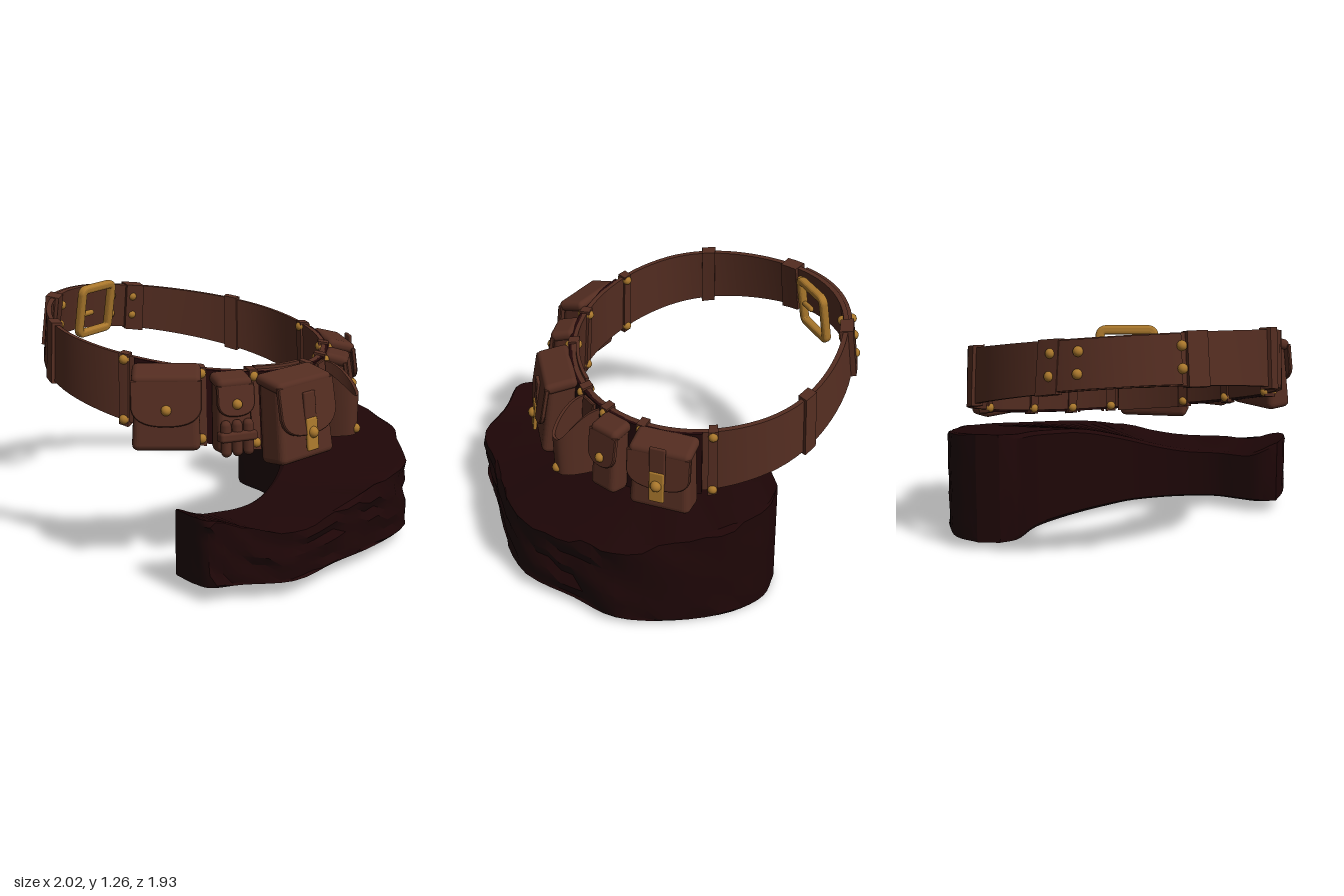
import * as THREE from 'three';
import { toCreasedNormals } from 'three/addons/utils/BufferGeometryUtils.js';
import { RoundedBoxGeometry } from 'three/addons/geometries/RoundedBoxGeometry.js';

const leather = new THREE.MeshStandardMaterial({ name: 'brown leather', color: 0x542d21 });
const darkLeather = new THREE.MeshStandardMaterial({ name: 'dark backing', color: 0x220809 });
const rockMat = new THREE.MeshStandardMaterial({ name: 'dark rock', color: 0x1e0607 });
const brass = new THREE.MeshStandardMaterial({ name: 'brass', color: 0xa9772c });

const V = (x, y, z) => new THREE.Vector3(x, y, z);
const rad = THREE.MathUtils.degToRad;
const hash = (i, j) => { const s = Math.sin(i * 12.99 + j * 78.23) * 43758.55; return (s - Math.floor(s)) * 2 - 1; };

function add(parent, name, geo, mat, x = 0, y = 0, z = 0) {
  const m = new THREE.Mesh(geo, mat);
  m.name = name;
  m.position.set(x, y, z);
  parent.add(m);
  return m;
}

// Skin a row of closed cross-sections and cap both ends
function loft(rings, crease = 0.6) {
  const n = rings[0].length, idx = [], last = (rings.length - 1) * n;
  for (let i = 0; i < rings.length - 1; i++) for (let j = 0; j < n; j++) {
    const a = i * n + j, b = i * n + (j + 1) % n;
    idx.push(a, b, b + n, a, b + n, a + n);
  }
  for (let j = 1; j < n - 1; j++) idx.push(0, j + 1, j, last, last + j, last + j + 1);
  const g = new THREE.BufferGeometry().setFromPoints(rings.flat());
  g.setIndex(idx);
  return toCreasedNormals(g, crease);
}

// Point on the tilted belt, flared at its sides and a little pointed at -x:
// t in degrees (0 = +x, 90 = +z), v = 0 top to 1 bottom
function beltPoint(t, off, v) {
  const c = Math.cos(rad(t)), s = Math.sin(rad(t));
  const squeeze = c < 0 ? 0.14 * c * c * s * s : 0;
  const r = off + (0.01 + 0.03 * c * c) * v - squeeze;
  const x = -0.21 + (0.73 + r) * c, z = 0.04 + (0.815 + r) * s;
  const h = 0.255 + 0.115 * THREE.MathUtils.clamp((x + 1) / 1.5, 0, 1);
  return V(x, 1.064 - 0.172 * x + 0.07 * z - v * h, z);
}

function band(parent, name, mat, t0, t1, in0, out0, v0 = 0, v1 = 1) {
  const n = Math.max(2, Math.ceil((t1 - t0) / 4)), rings = [];
  for (let i = 0; i <= n; i++) {
    const t = t0 + (t1 - t0) * i / n;
    rings.push([beltPoint(t, out0, v1), beltPoint(t, out0, v0), beltPoint(t, in0, v0), beltPoint(t, in0, v1)]);
  }
  return add(parent, name, loft(rings), mat);
}

// Group standing on the belt top edge: x along the belt, y up, z outward
function beltFrame(parent, name, t, off = 0) {
  const g = new THREE.Group();
  g.name = name;
  const p = beltPoint(t, off, 0);
  const up = p.clone().sub(beltPoint(t, off, 1)).normalize();
  const along = beltPoint(t - 1, off, 0).sub(beltPoint(t + 1, off, 0)).normalize();
  const out = along.cross(up).normalize();
  g.matrix.makeBasis(up.clone().cross(out), up, out).setPosition(p);
  g.matrix.decompose(g.position, g.quaternion, g.scale);
  parent.add(g);
  return g;
}

const rivetGeo = new THREE.SphereGeometry(0.026, 14, 10);
function beltRivet(parent, t, v, off = 0) {
  add(parent, 'rivet', rivetGeo, brass).position.copy(beltPoint(t, off, v));
}

// Flat tongue with a rounded lower edge, hanging down from y = 0
function tongueGeo(w, len, depth) {
  const s = new THREE.Shape();
  s.moveTo(-w / 2, 0);
  s.lineTo(-w / 2, -len * 0.6);
  s.bezierCurveTo(-w * 0.46, -len * 0.95, -w * 0.2, -len, 0, -len);
  s.bezierCurveTo(w * 0.2, -len, w * 0.46, -len * 0.95, w / 2, -len * 0.6);
  s.lineTo(w / 2, 0);
  return new THREE.ExtrudeGeometry(s, { depth, bevelEnabled: true, bevelSize: 0.005, bevelThickness: 0.005, bevelSegments: 1, curveSegments: 8 });
}

function pouch(parent, o) {
  const g = beltFrame(parent, o.name, o.t, 0.015);
  const { w, h, d, flap } = o;
  // Body, slimmer and sloping forward at the top
  const body = new RoundedBoxGeometry(w, h, d, 3, 0.035);
  const p = body.attributes.position;
  for (let i = 0; i < p.count; i++) {
    const up = p.getY(i) / h + 0.5, k = 1 - 0.1 * up;
    p.setX(i, p.getX(i) * k);
    p.setZ(i, (p.getZ(i) + d / 2) * k - d / 2);
    p.setY(i, p.getY(i) - 0.05 * up * (p.getZ(i) / d + 0.5));
  }
  body.computeVertexNormals();
  add(g, 'pouchBody', body, leather, 0, -h / 2, d / 2);
  add(g, 'lidTop', new RoundedBoxGeometry(w, 0.06, d + 0.015, 3, 0.028), leather, 0, -0.04, d / 2).rotation.x = 0.3;
  add(g, 'lidFlap', tongueGeo(w, flap - 0.06, 0.015), leather, 0, -0.06, d - 0.015).rotation.x = -0.08;
  const front = d + 0.015;
  if (o.clasp) {
    add(g, 'claspStrap', new RoundedBoxGeometry(0.085, 0.2, 0.02, 2, 0.008), leather, 0, o.clasp + 0.08, front);
    add(g, 'claspPlate', new RoundedBoxGeometry(0.08, 0.17, 0.02, 2, 0.008), brass, 0, o.clasp - 0.04, front + 0.007);
    add(g, 'claspStud', new THREE.SphereGeometry(0.03, 14, 10), brass, 0, o.clasp - 0.03, front + 0.015);
  } else add(g, 'lidStud', rivetGeo, brass, 0, o.stud, front);
  return g;
}

function makeRock() {
  // Matching inner and outer edge points along the arc (x, z)
  const inner = [[-0.325, -0.62], [-0.27, -0.53], [-0.02, -0.45], [0.13, -0.33], [0.28, -0.17], [0.36, -0.07], [0.44, 0.04], [0.5, 0.2], [0.53, 0.38], [0.52, 0.55], [0.46, 0.68], [0.41, 0.8], [0.43, 0.9]];
  const outer = [[-0.31, -0.75], [-0.2, -0.89], [0, -0.96], [0.32, -0.95], [0.61, -0.85], [0.78, -0.64], [0.97, -0.4], [1.012, -0.05], [0.985, 0.3], [0.97, 0.64], [0.79, 0.83], [0.69, 0.955], [0.57, 0.945]];
  const curve = a => new THREE.CatmullRomCurve3(a.map(q => V(q[0], 0, q[1])));
  const ci = curve(inner), co = curve(outer), rings = [], n = 48, ss = THREE.MathUtils.smoothstep;
  const top = (x, z) => THREE.MathUtils.lerp(0.56 - 0.14 * x, 0.34, ss(z, -0.3, 0.45)) + 0.08 * ss(z, 0.7, 0.94);
  const bottom = (x, z) => 0.05 * (z + 0.95) / 1.9 + 0.045 * Math.max(0, x);
  for (let i = 0; i <= n; i++) {
    const a = ci.getPoint(i / n), b = co.getPoint(i / n), ring = [];
    // s runs inner to outer, k runs bottom to top
    const put = (s, k, bump) => {
      const q = a.clone().lerp(b, s), lo = bottom(q.x, q.z), hi = top(q.x, q.z);
      q.y = lo + (hi - lo) * k + (k > 0.9 ? bump * 0.5 : 0);
      ring.push(q);
    };
    put(0.97, 0, 0);
    for (let j = 0; j < 7; j++) {
      const r = hash(Math.floor(i / 2), j), amt = 0.012 + 0.03 * (i / n);
      put(1 - amt * (1 + r), 0.04 + j * 0.155, r * 0.04);
    }
    put(0.93, 1, 0);
    put(0.04, 1, 0);
    put(0, 0.96, 0);
    put(0, 0.5, 0);
    put(0, 0.04, 0);
    put(0.03, 0, 0);
    rings.push(ring);
  }
  return loft(rings, 0.5);
}

// Open sheath: a leather strip bent forward in a U, its rim dipping at the front
function sheathGeo() {
  const rings = [];
  for (let i = 0; i <= 24; i++) {
    const c = Math.cos(Math.PI * i / 24), s = Math.sin(Math.PI * i / 24);
    const side = Math.sign(c) * Math.abs(c) ** 0.65, rim = -0.02 - 0.17 * s * s;
    const at = (r, y, k) => V((0.088 - r) * side * k, y, (0.21 - r) * s * k);
    rings.push([at(0, -0.4, 0.88), at(0, rim, 1), at(0.015, rim, 1), at(0.015, -0.4, 0.88)]);
  }
  return loft(rings);
}

export function createModel() {
  const model = new THREE.Group();
  model.name = 'utilityBelt';
  add(model, 'rockBase', makeRock(), rockMat);

  // Belt strap, overlapped end and dark backing behind the pouches
  const belt = new THREE.Group();
  belt.name = 'belt';
  model.add(belt);
  band(belt, 'strap', leather, -180, 180, -0.012, 0.014);
  band(belt, 'strapEnd', leather, 158, 204, 0.01, 0.033, 0.02, 0.98);
  band(belt, 'backing', darkLeather, -66, 66, 0.01, 0.028, 0, 1.03);
  band(belt, 'innerPanel', leather, -5, 20, -0.028, -0.01, -0.04, 1.06);

  // Plain keepers, then riveted keepers between the pouches
  for (const t of [-111, 111]) band(belt, 'keeper', leather, t - 3, t + 3, -0.03, 0.032, -0.04, 1.04);
  for (const t of [152, 203]) band(belt, 'endKeeper', leather, t - 4, t + 4, -0.03, 0.042, -0.02, 1.03);
  for (const t of [-70, -42, -24, -8, 22, 42, 70]) {
    band(belt, 'rivetedKeeper', leather, t - 1.8, t + 1.8, -0.026, 0.034, -0.03, 1.06);
    for (const v of [0.06, 0.97]) for (const off of [-0.018, 0.026]) beltRivet(belt, t, v, off);
  }
  for (const t of [158, 192, 202]) for (const v of [0.25, 0.68]) for (const off of [-0.018, 0.036]) beltRivet(belt, t, v, off);

  // Rounded buckle on the inner side
  const buckle = beltFrame(model, 'buckle', 176, -0.115);
  const rect = (s, w, r) => {
    s.moveTo(w, r - w);
    for (let k = 0; k < 4; k++) s.absarc([1, -1, -1, 1][k] * (w - r), [1, 1, -1, -1][k] * (w - r), r, k * Math.PI / 2, (k + 1) * Math.PI / 2);
    return s;
  };
  const frame = rect(new THREE.Shape(), 0.138, 0.035);
  frame.holes.push(rect(new THREE.Path(), 0.122, 0.02));
  add(buckle, 'buckleFrame', new THREE.ExtrudeGeometry(frame, { depth: 0.014, bevelEnabled: true, bevelSize: 0.014, bevelThickness: 0.016, bevelSegments: 3, curveSegments: 5 }), brass, 0, -0.1, -0.007);
  add(buckle, 'buckleProng', new THREE.CapsuleGeometry(0.016, 0.09, 4, 10), brass, 0.08, -0.115, 0).rotation.z = Math.PI / 2;

  // Pouches from front to back
  pouch(model, { name: 'frontPouch', t: 54.3, w: 0.34, h: 0.41, d: 0.155, flap: 0.28, stud: -0.2 });
  const tubePouch = pouch(model, { name: 'tubePouch', t: 32.5, w: 0.19, h: 0.4, d: 0.12, flap: 0.21, stud: -0.15 });
  pouch(model, { name: 'sidePouch', t: 8.5, w: 0.4, h: 0.455, d: 0.165, flap: 0.32, clasp: -0.28 });
  pouch(model, { name: 'slimPouch', t: -31.5, w: 0.18, h: 0.39, d: 0.12, flap: 0.24, stud: -0.19 });
  pouch(model, { name: 'backPouch', t: -53.5, w: 0.33, h: 0.38, d: 0.15, flap: 0.25, clasp: -0.19 });

  // Small tubes held by a strip on the second pouch
  for (const x of [-0.06, 0, 0.06]) add(tubePouch, 'smallTube', new THREE.CapsuleGeometry(0.028, 0.13, 4, 10), leather, x, -0.32, 0.125);
  add(tubePouch, 'tubeStrip', new RoundedBoxGeometry(0.2, 0.05, 0.07, 2, 0.015), leather, 0, -0.31, 0.125);

  // Open tool sheath
  const holder = beltFrame(model, 'toolSheath', -15.5, 0.025);
  add(holder, 'sheath', sheathGeo(), leather);
  add(holder, 'sheathTab', tongueGeo(0.1, 0.2, 0.012), leather, 0, -0.01, 0.005);
  add(holder, 'sheathStud', rivetGeo, brass, 0, -0.37, 0.185);

  return model;
}
